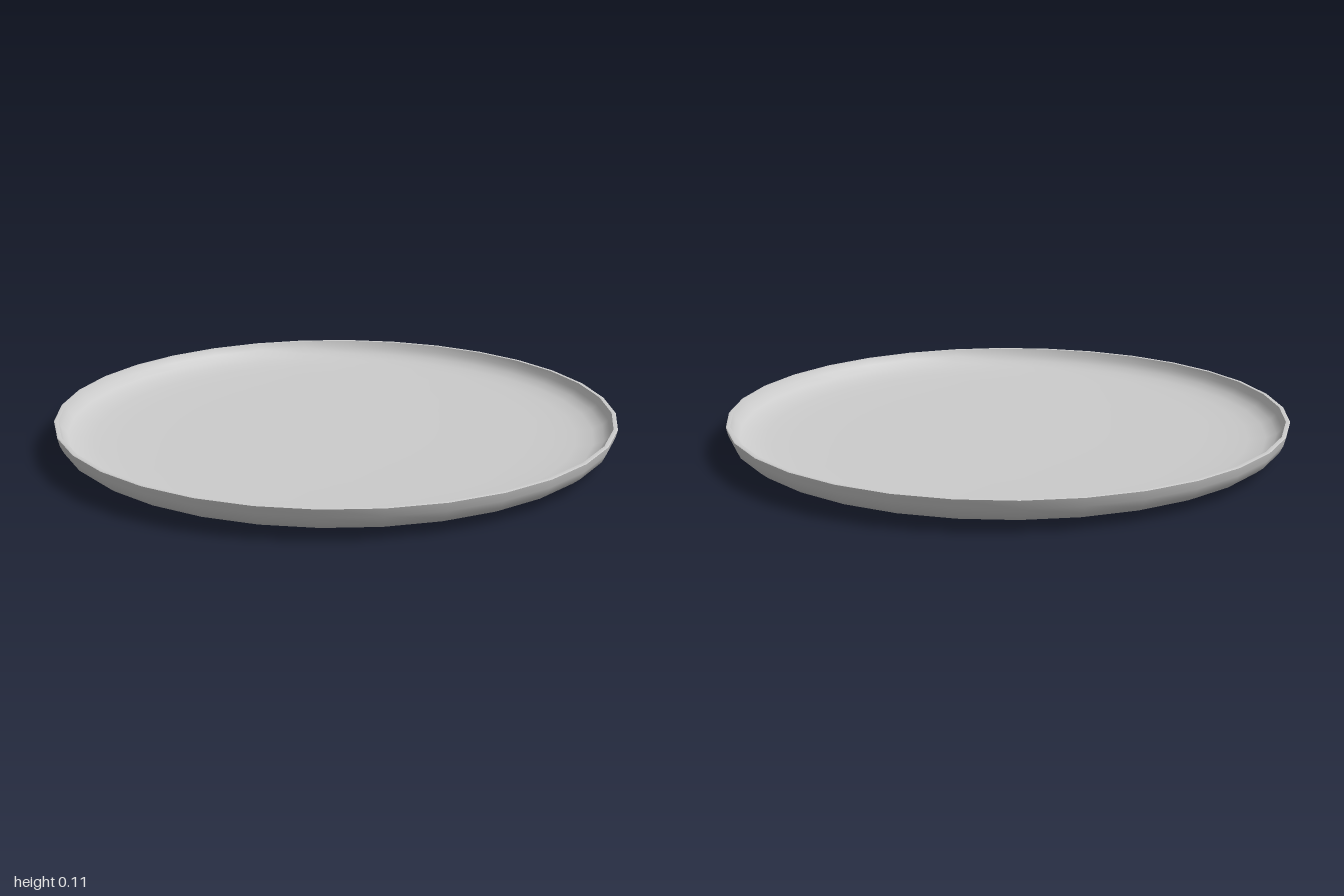
import * as THREE from 'three';

const SEGMENTS = 32;

export function createModel() {
  const group = new THREE.Group();
  group.name = 'plate';
  const material = new THREE.MeshStandardMaterial({ color: 0xcccccc });

  // Revolves a [radius, height] profile, walked with the solid on its left
  const addLathe = (name, profile) => {
    const points = profile.map(([r, y]) => new THREE.Vector2(r, y));
    const mesh = new THREE.Mesh(new THREE.LatheGeometry(points, SEGMENTS), material);
    mesh.name = name;
    group.add(mesh);
  };

  // Slightly hollow underside inside the foot ring
  addLathe('underside', [[0, 0.01], [0.5, 0.01], [0.62, 0.007], [0.68, 0.003], [0.71, 0]]);

  // Low foot ring, flat outer base and rounded outer wall
  addLathe('outerWall', [
    [0.71, 0], [0.718, 0.004], [0.725, 0.013], [0.76, 0.015], [0.88, 0.016],
    [0.92, 0.021], [0.955, 0.033], [0.98, 0.053], [0.993, 0.08], [1, 0.109],
  ]);

  // Thin flat lip
  addLathe('rim', [[1, 0.109], [0.996, 0.111], [0.985, 0.11]]);

  // Shallow dished eating surface
  addLathe('innerSurface', [
    [0.985, 0.11], [0.975, 0.085], [0.955, 0.064], [0.92, 0.049],
    [0.86, 0.04], [0.75, 0.034], [0.55, 0.03], [0.3, 0.028], [0, 0.028],
  ]);

  return group;
}
